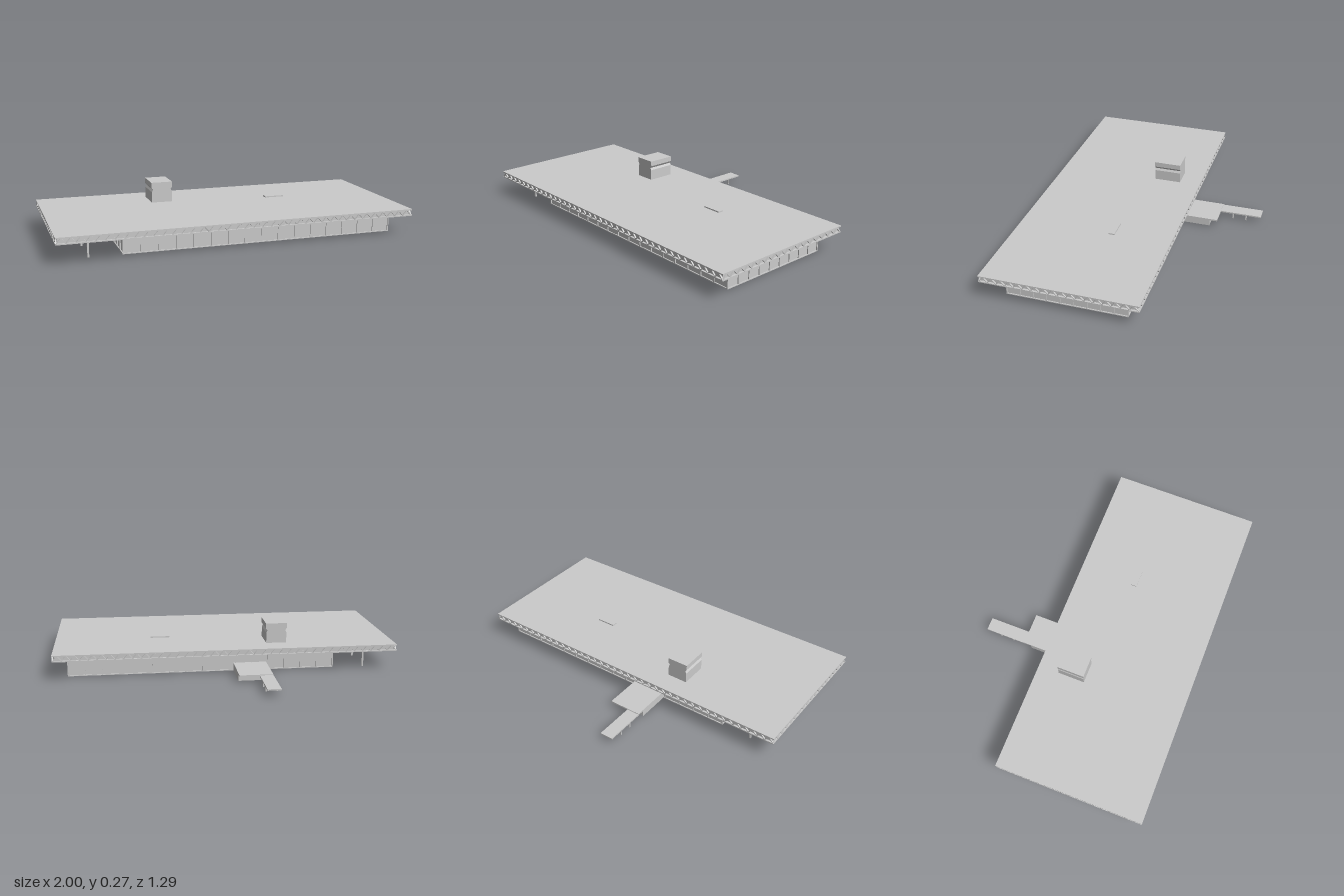
import * as THREE from 'three';
import { mergeGeometries } from 'three/addons/utils/BufferGeometryUtils.js';

const material = new THREE.MeshStandardMaterial({ color: 0xcccccc, flatShading: true });

// Box given by its minimum and maximum corners
function boxGeometry(x0, x1, y0, y1, z0, z1) {
  return new THREE.BoxGeometry(x1 - x0, y1 - y0, z1 - z0)
    .translate((x0 + x1) / 2, (y0 + y1) / 2, (z0 + z1) / 2);
}

// Zigzag of flat struts along x, centred on the origin and facing +z
function zigzag(length, bays, height, thickness) {
  const parts = [];
  const step = length / bays / 2;
  const strut = Math.hypot(step, height);
  const angle = Math.atan2(height, step);
  for (let i = 0; i < bays * 2; i++) {
    parts.push(new THREE.BoxGeometry(strut, 0.005, thickness)
      .rotateZ(i % 2 ? -angle : angle)
      .translate(-length / 2 + (i + 0.5) * step, 0, 0));
  }
  return mergeGeometries(parts);
}

export function createModel() {
  const group = new THREE.Group();
  const add = (name, geometry) => {
    const mesh = new THREE.Mesh(geometry, material);
    mesh.name = name;
    group.add(mesh);
  };
  const addBox = (name, ...corners) => add(name, boxGeometry(...corners));

  // Roof: two thin slabs around a recessed core
  const roof = { x0: -1, x1: 1, z0: -0.24, z1: 0.645 };
  const inset = 0.012;
  addBox('roofTop', roof.x0, roof.x1, 0.143, 0.15, roof.z0, roof.z1);
  addBox('roofCeiling', roof.x0, roof.x1, 0.111, 0.117, roof.z0, roof.z1);
  addBox('roofCore', roof.x0 + inset, roof.x1 - inset, 0.115, 0.145,
    roof.z0 + inset, roof.z1 - inset);

  // Truss struts around the roof edge
  const zMid = (roof.z0 + roof.z1) / 2;
  const depth = roof.z1 - roof.z0;
  for (const side of [-1, 1]) {
    add('longRoofTruss', zigzag(1.99, 40, 0.027, 0.008)
      .translate(0, 0.13, zMid + side * (depth / 2 - 0.005)));
    add('shortRoofTruss', zigzag(depth - 0.01, 18, 0.027, 0.008)
      .rotateY(Math.PI / 2).translate(side * 0.995, 0.13, zMid));
  }

  // Glazed hall with mullions on all four sides
  const hall = { x0: -0.64, x1: 0.92, z0: -0.155, z1: 0.53 };
  const rib = 0.006;
  addBox('hallWalls', hall.x0 + rib, hall.x1 - rib, 0, 0.112, hall.z0 + rib, hall.z1 - rib);
  addBox('hallFloor', hall.x0, hall.x1, 0, 0.005, hall.z0, hall.z1);
  const mullions = [];
  const mullion = (x, z) => mullions.push(
    new THREE.BoxGeometry(rib, 0.112, rib).translate(x, 0.056, z));
  for (let i = 0; i <= 16; i++) {
    const x = THREE.MathUtils.lerp(hall.x0 + rib / 2, hall.x1 - rib / 2, i / 16);
    mullion(x, hall.z0 + rib / 2);
    mullion(x, hall.z1 - rib / 2);
  }
  for (let i = 1; i < 9; i++) {
    const z = THREE.MathUtils.lerp(hall.z0 + rib / 2, hall.z1 - rib / 2, i / 9);
    mullion(hall.x0 + rib / 2, z);
    mullion(hall.x1 - rib / 2, z);
  }
  add('mullions', mergeGeometries(mullions));

  // Row of slim posts under the wide roof overhang
  for (const z of [-0.155, 0.07, 0.3, 0.525]) {
    addBox('roofPost', -0.825, -0.815, 0, 0.112, z - 0.005, z + 0.005);
  }

  // Rooftop plant room with a notch along its sides
  const half = [[0.06, 0.148], [0.06, 0.212], [0.053, 0.225], [0.062, 0.238], [0.062, 0.268]];
  const outline = [...half, ...half.map(([x, y]) => [-x, y]).reverse()];
  const shape = new THREE.Shape(outline.map(([x, y]) => new THREE.Vector2(x, y)));
  add('plantRoom', new THREE.ExtrudeGeometry(shape, { depth: 0.16, bevelEnabled: false })
    .translate(-0.302, 0, -0.115));
  addBox('roofHatch', 0.318, 0.433, 0.148, 0.157, 0.085, 0.12);

  // Rear terrace, its base and the narrow walkway
  addBox('terraceBase', -0.235, -0.042, 0, 0.038, -0.355, -0.15);
  addBox('terraceDeck', -0.235, -0.042, 0.037, 0.046, -0.4, -0.15);
  addBox('walkway', -0.235, -0.158, 0.034, 0.042, -0.645, -0.395);
  for (const z of [-0.475, -0.555]) {
    for (const x of [-0.227, -0.166]) {
      addBox('walkwayPost', x - 0.004, x + 0.004, 0, 0.036, z - 0.004, z + 0.004);
    }
  }

  return group;
}
